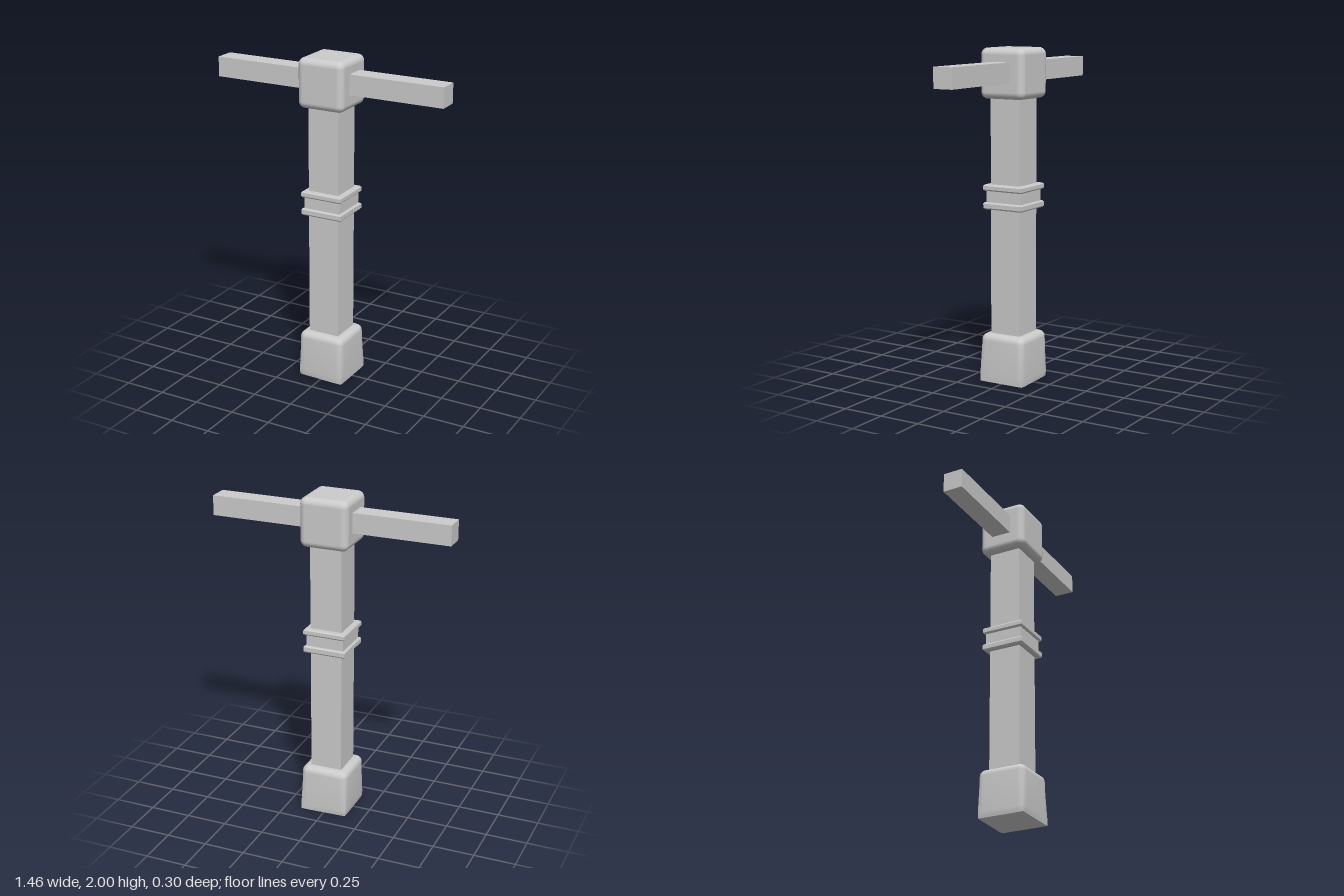
import * as THREE from 'three';
import { RoundedBoxGeometry } from 'three/addons/geometries/RoundedBoxGeometry.js';
import { toCreasedNormals } from 'three/addons/utils/BufferGeometryUtils.js';

const HALF = 0.148, RADIUS = 0.04;

export function createModel() {
  const model = new THREE.Group();
  const smooth = new THREE.MeshStandardMaterial({ color: 0xcccccc });
  const flat = new THREE.MeshStandardMaterial({ color: 0xcccccc, flatShading: true });

  const add = (name, geometry, material, y) => {
    const mesh = new THREE.Mesh(geometry, material);
    mesh.name = name;
    mesh.position.y = y;
    model.add(mesh);
  };
  const block = () => new RoundedBoxGeometry(HALF * 2, HALF * 2, HALF * 2, 4, RADIUS);

  // Foot: soft upper edges, with the lower corners pulled out almost sharp
  const foot = block();
  const pos = foot.attributes.position;
  const p = new THREE.Vector3(), core = new THREE.Vector3(), offset = new THREE.Vector3();
  const inner = HALF - RADIUS;
  for (let i = 0; i < pos.count; i++) {
    p.fromBufferAttribute(pos, i);
    if (p.y > 0) continue;
    core.copy(p).clampScalar(-inner, inner);
    offset.subVectors(p, core);
    const reach = Math.max(Math.abs(offset.x), Math.abs(offset.y), Math.abs(offset.z));
    const square = offset.clone().multiplyScalar(RADIUS / reach);
    offset.lerp(square, p.x > 0 ? 0.9 : 0.6);
    p.addVectors(core, offset);
    pos.setXYZ(i, p.x, p.y, p.z);
  }
  add('foot', toCreasedNormals(foot, 0.7), smooth, HALF);

  // Square post
  add('post', new THREE.BoxGeometry(0.196, 1.5, 0.196), flat, 1.0);

  // Square collar: two bevelled rings around a recessed band
  const profile = [
    [0.09, 1.05], [0.124, 1.05], [0.131, 1.058], [0.131, 1.084], [0.124, 1.092], [0.117, 1.092],
    [0.117, 1.16], [0.124, 1.16], [0.131, 1.168], [0.131, 1.19], [0.124, 1.198], [0.09, 1.198],
  ].map(([half, y]) => new THREE.Vector2(half * Math.SQRT2, y));
  add('collar', new THREE.LatheGeometry(profile, 4, Math.PI / 4), flat, 0);

  // Rounded head and the bar passing through it
  add('head', block(), smooth, 2 - HALF);
  add('crossbar', new THREE.BoxGeometry(1.464, 0.12, 0.122), flat, 1.86);

  return model;
}
